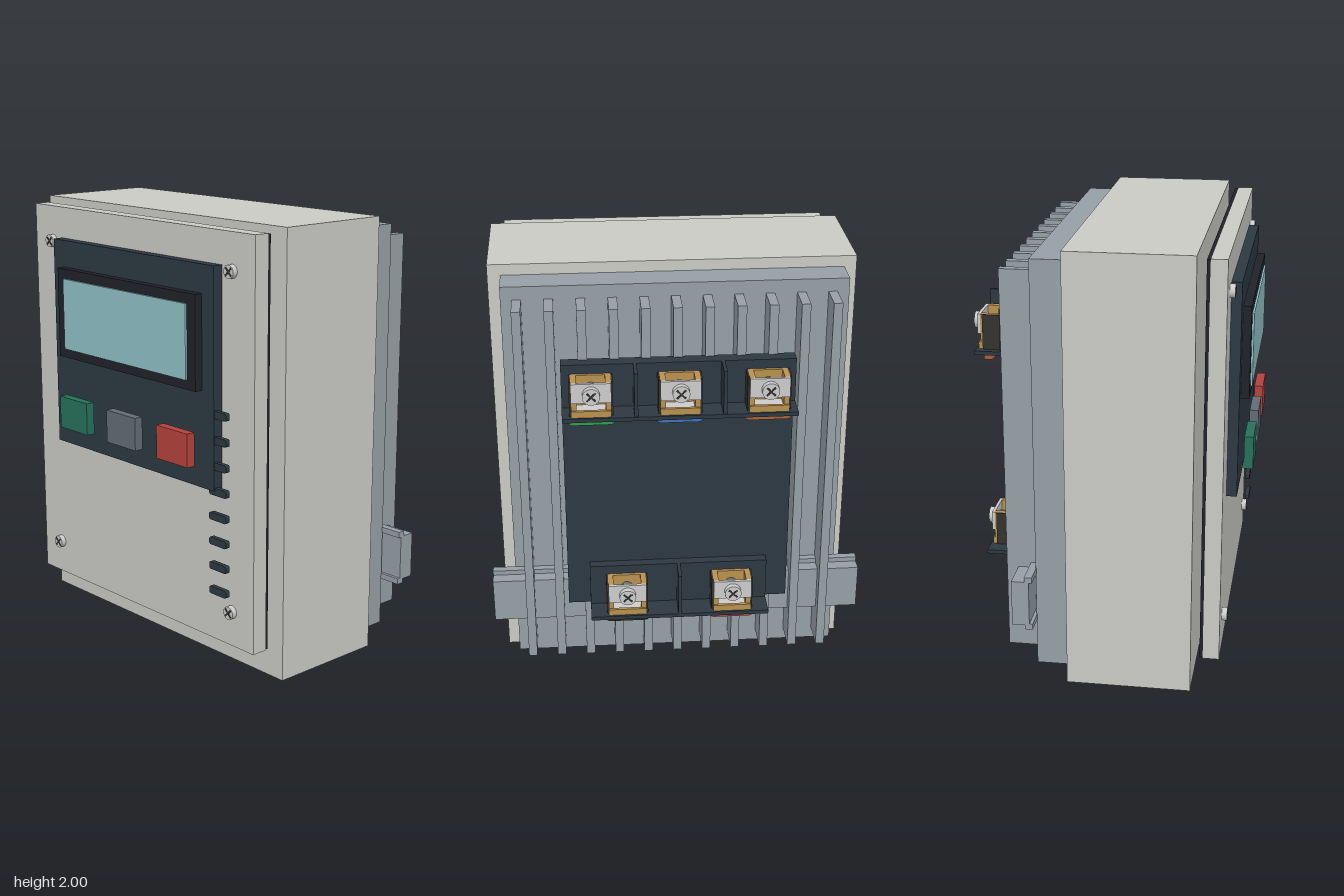
import * as THREE from 'three';

const material = (color) => new THREE.MeshStandardMaterial({ color });
const M = {
  shell: material(0xcacac5), metal: material(0x959fa5), navy: material(0x2c3842),
  black: material(0x1f2229), screen: material(0x8fc0c5), green: material(0x27705a),
  grey: material(0x626c74), red: material(0xb5423c), steel: material(0xc4c6c6),
  brass: material(0xb8914f), dark: material(0x35322f), lime: material(0x2f9a48),
  blue: material(0x3f74b5), orange: material(0xa8623a),
};

// Box given by its limits on each axis
function box(parent, name, mat, x0, x1, y0, y1, z0, z1) {
  const mesh = new THREE.Mesh(new THREE.BoxGeometry(x1 - x0, y1 - y0, z1 - z0), mat);
  mesh.position.set((x0 + x1) / 2, (y0 + y1) / 2, (z0 + z1) / 2);
  mesh.name = name;
  parent.add(mesh);
  return mesh;
}

// Cylinder whose axis runs along z
function rod(parent, name, mat, r, x, y, z0, z1) {
  const geo = new THREE.CylinderGeometry(r, r, z1 - z0, 20).rotateX(Math.PI / 2);
  const mesh = new THREE.Mesh(geo, mat);
  mesh.position.set(x, y, (z0 + z1) / 2);
  mesh.name = name;
  parent.add(mesh);
}

// Shape of a rectangle centred on the origin, with round corners
function roundRect(w, h, r) {
  const s = new THREE.Shape();
  const x = w / 2 - r, y = h / 2 - r;
  s.absarc(x, y, r, 0, Math.PI / 2);
  s.absarc(-x, y, r, Math.PI / 2, Math.PI);
  s.absarc(-x, -y, r, Math.PI, Math.PI * 1.5);
  s.absarc(x, -y, r, Math.PI * 1.5, Math.PI * 2);
  s.closePath();
  return s;
}

function extrude(parent, name, mat, shape, depth, x, y, z) {
  const geo = new THREE.ExtrudeGeometry(shape, { depth, bevelEnabled: false, curveSegments: 6 });
  const mesh = new THREE.Mesh(geo, mat);
  mesh.position.set(x, y, z);
  mesh.name = name;
  parent.add(mesh);
  return mesh;
}

// Cross recess shown as two dark bars
function crossSlot(parent, x, y, z, size) {
  for (const angle of [Math.PI / 4, -Math.PI / 4]) {
    const bar = box(parent, 'crossSlot', M.dark, x - size, x + size, y - 0.004, y + 0.004, z - 0.002, z + 0.002);
    bar.rotation.z = angle;
  }
}

// Screw clamp: open brass cage, pressure plate and a threaded screw facing the back
function terminal(parent, x, y) {
  const g = new THREE.Group();
  g.name = 'terminal';
  g.position.set(x, y, 0);
  parent.add(g);
  for (const s of [-1, 1]) {
    box(g, 'clampSide', M.brass, s * 0.075 - 0.012, s * 0.075 + 0.012, 0, 0.16, -0.595, -0.505);
    box(g, 'clampLiner', M.dark, s * 0.091 - 0.004, s * 0.091 + 0.004, 0, 0.16, -0.585, -0.505);
  }
  box(g, 'clampBase', M.brass, -0.087, 0.087, 0, 0.16, -0.515, -0.5);
  box(g, 'clampFloor', M.steel, -0.065, 0.065, 0, 0.02, -0.595, -0.51);
  box(g, 'clampLip', M.brass, -0.087, 0.087, 0, 0.03, -0.605, -0.59);
  box(g, 'pressurePlate', M.steel, -0.087, 0.087, 0.07, 0.16, -0.608, -0.594);
  rod(g, 'screwShaft', M.steel, 0.018, 0, 0.11, -0.6, -0.525);
  for (let i = 0; i < 5; i++) {
    const z = -0.585 + i * 0.012;
    rod(g, 'screwThread', M.steel, 0.026, 0, 0.11, z - 0.003, z + 0.003);
  }
  rod(g, 'screwHead', M.steel, 0.038, 0, 0.11, -0.635, -0.607);
  crossSlot(g, 0, 0.11, -0.635, 0.027);
}

// Row of terminals on a ledge, split by upright walls, with colour tags below
function terminalRow(parent, name, y, half, centres, dividers, tags) {
  const g = new THREE.Group();
  g.name = name;
  parent.add(g);
  box(g, 'backWall', M.navy, -half, half, y, y + 0.22, -0.5, -0.45);
  box(g, 'ledge', M.navy, -half, half, y, y + 0.018, -0.615, -0.45);
  for (const x of dividers) box(g, 'divider', M.navy, x - 0.008, x + 0.008, y, y + 0.22, -0.612, -0.49);
  centres.forEach((x, i) => {
    terminal(g, x, y + 0.018);
    const tag = extrude(g, 'colourTag', tags[i], roundRect(0.2, 0.046, 0.022), 0.028, x, y, -0.562);
    tag.rotation.x = Math.PI / 2;
  });
}

export function createModel() {
  const model = new THREE.Group();
  model.name = 'controlBox';

  // Enclosure, gasket and front cover
  box(model, 'enclosure', M.shell, -0.82, 0.82, 0, 2, -0.16, 0.4);
  box(model, 'gasket', M.black, -0.76, 0.76, 0.143, 1.972, 0.435, 0.45);
  box(model, 'frontCover', M.shell, -0.765, 0.762, 0.14, 1.975, 0.45, 0.523);

  // Operator panel with framed display
  box(model, 'panel', M.navy, -0.562, 0.56, 0.85, 1.83, 0.523, 0.57);
  const frame = new THREE.Shape([[-0.485, -0.21], [0.485, -0.21], [0.485, 0.21], [-0.485, 0.21]]
    .map(([x, y]) => new THREE.Vector2(x, y)));
  frame.holes.push(new THREE.Path([[-0.43, -0.165], [-0.43, 0.165], [0.43, 0.165], [0.43, -0.165]]
    .map(([x, y]) => new THREE.Vector2(x, y))));
  extrude(model, 'displayFrame', M.black, frame, 0.038, 0, 1.495, 0.57);
  box(model, 'display', M.screen, -0.434, 0.432, 1.328, 1.66, 0.608, 0.617);

  // Push buttons
  [[M.green, -0.358], [M.grey, -0.002], [M.red, 0.353]].forEach(([mat, x]) =>
    box(model, 'button', mat, x - 0.103, x + 0.103, 0.945, 1.097, 0.59, 0.632));

  // Vent slots and cover screws
  for (let i = 0; i < 8; i++) {
    extrude(model, 'ventSlot', M.navy, roundRect(0.108, 0.034, 0.01), 0.022, 0.577, 0.39 + i * 0.1143, 0.543);
  }
  for (const x of [-0.63, 0.625]) {
    for (const y of [0.3, 1.81]) {
      rod(model, 'coverScrew', M.steel, 0.03, x, y, 0.52, 0.547);
      crossSlot(model, x, y, 0.547, 0.024);
    }
  }

  // Heat sink: base plate and upright fins
  box(model, 'heatSinkBase', M.metal, -0.765, 0.762, 0.06, 1.95, -0.306, -0.16);
  for (let i = -5; i <= 5; i++) {
    const x = i * 0.1385;
    box(model, 'fin', M.metal, x - 0.02, x + 0.02, 0.12, 1.89, -0.448, -0.3);
  }

  // Mounting rail crossing the fins, with a lip along each edge
  box(model, 'rail', M.metal, -0.868, 0.866, 0.3, 0.512, -0.396, -0.318);
  for (const y of [0.28, 0.508]) box(model, 'railLip', M.metal, -0.868, 0.866, y, y + 0.027, -0.338, -0.303);

  // Terminal carrier on the back
  box(model, 'carrierPlate', M.navy, -0.512, 0.512, 0.42, 1.66, -0.456, -0.435);
  terminalRow(model, 'upperTerminals', 1.44, 0.512, [0.385, 0, -0.385], [-0.192, 0.192], [M.lime, M.blue, M.orange]);
  terminalRow(model, 'lowerTerminals', 0.42, 0.41, [0.242, -0.242], [0], [M.dark, M.red]);

  return model;
}
